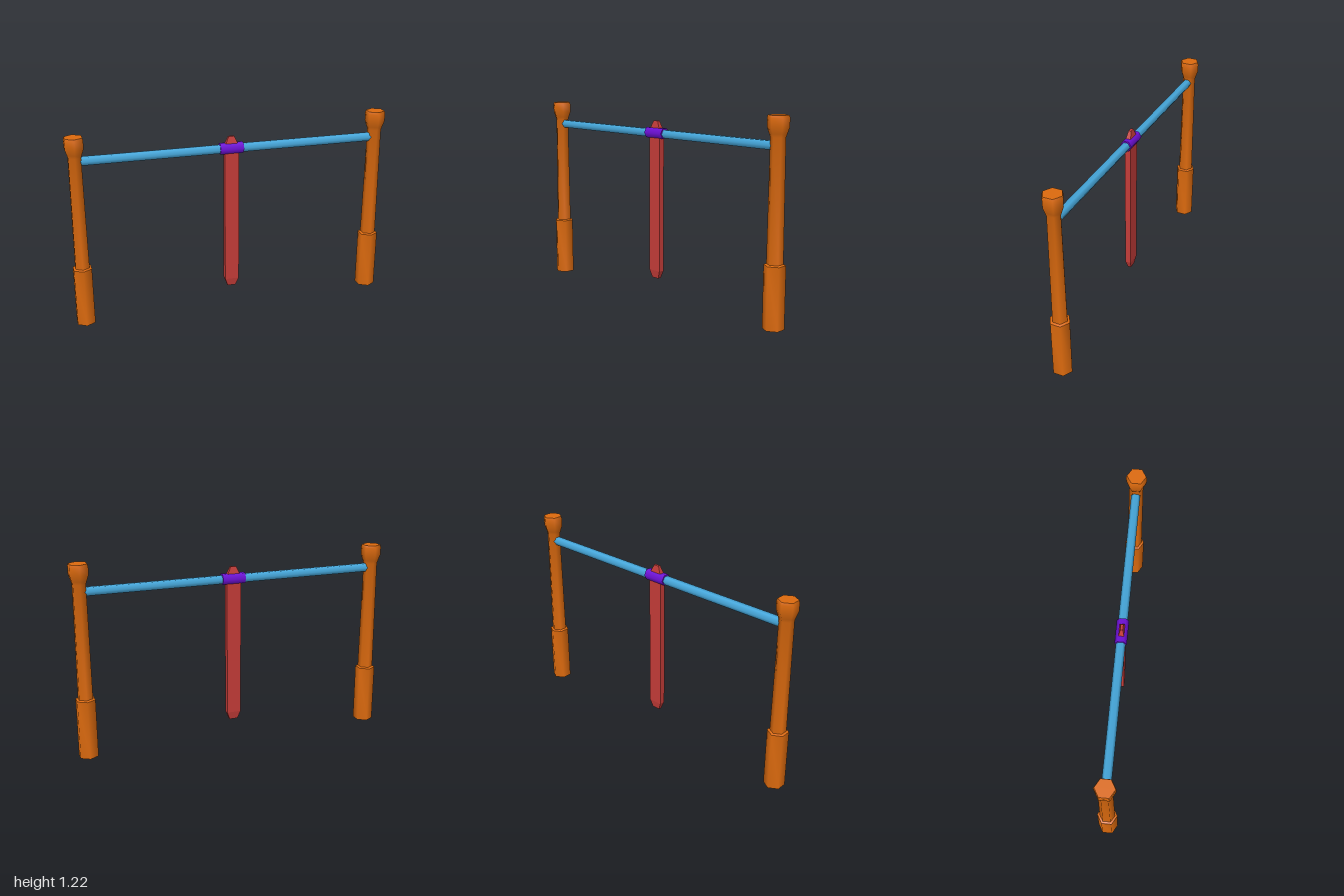
import * as THREE from 'three';
import { toCreasedNormals } from 'three/addons/utils/BufferGeometryUtils.js';

const paint = (name, color) => {
  const m = new THREE.MeshStandardMaterial({ color });
  m.name = name;
  return m;
};

// Turned part from [radius, height] pairs, closed at both ends
function turned(profile, sides, crease, start = 0) {
  const pts = profile.map(([r, y]) => new THREE.Vector2(r, y));
  pts.unshift(new THREE.Vector2(0, profile[0][1]));
  pts.push(new THREE.Vector2(0, profile[profile.length - 1][1]));
  return toCreasedNormals(new THREE.LatheGeometry(pts, sides, start), crease);
}

export function createModel() {
  const model = new THREE.Group();
  model.name = 'crossbarWithHangingBoard';

  const orange = paint('orange', 0xdc6a0e);
  const blue = paint('blue', 0x46a8dc);
  const purple = paint('purple', 0x6f10d8);
  const red = paint('red', 0xc43c38);

  const add = (name, geometry, material, x = 0, y = 0) => {
    const mesh = new THREE.Mesh(geometry, material);
    mesh.name = name;
    mesh.position.set(x, y, 0);
    model.add(mesh);
  };

  // Six-sided posts: thick foot, slightly tapered shaft, flared head
  const post = turned([
    [0.063, 0], [0.063, 0.37], [0.048, 0.376], [0.043, 1.08],
    [0.05, 1.1], [0.062, 1.135], [0.063, 1.185], [0.058, 1.2],
  ], 6, 1.13);
  add('rightPost', post, orange, -0.945, 0);
  add('leftPost', post, orange, 0.942, 0.02);

  // Crossbar and the sleeve at its middle
  const rod = (radius, length) =>
    new THREE.CylinderGeometry(radius, radius, length, 6).rotateZ(Math.PI / 2);
  add('crossbar', rod(0.028, 1.824), blue, 0, 1.053);
  add('sleeve', rod(0.036, 0.146), purple, 0, 1.055);

  // Flat hanging board with tapered ends
  const board = turned([
    [0.026, 0.13], [0.045, 0.18], [0.045, 1.07], [0.018, 1.13],
  ].map(([w, y]) => [w * Math.SQRT2, y]), 4, 0.1, Math.PI / 4);
  board.scale(1, 1, 0.42);
  board.deleteAttribute('normal');
  board.computeVertexNormals();
  add('hangingBoard', board, red);

  return model;
}
